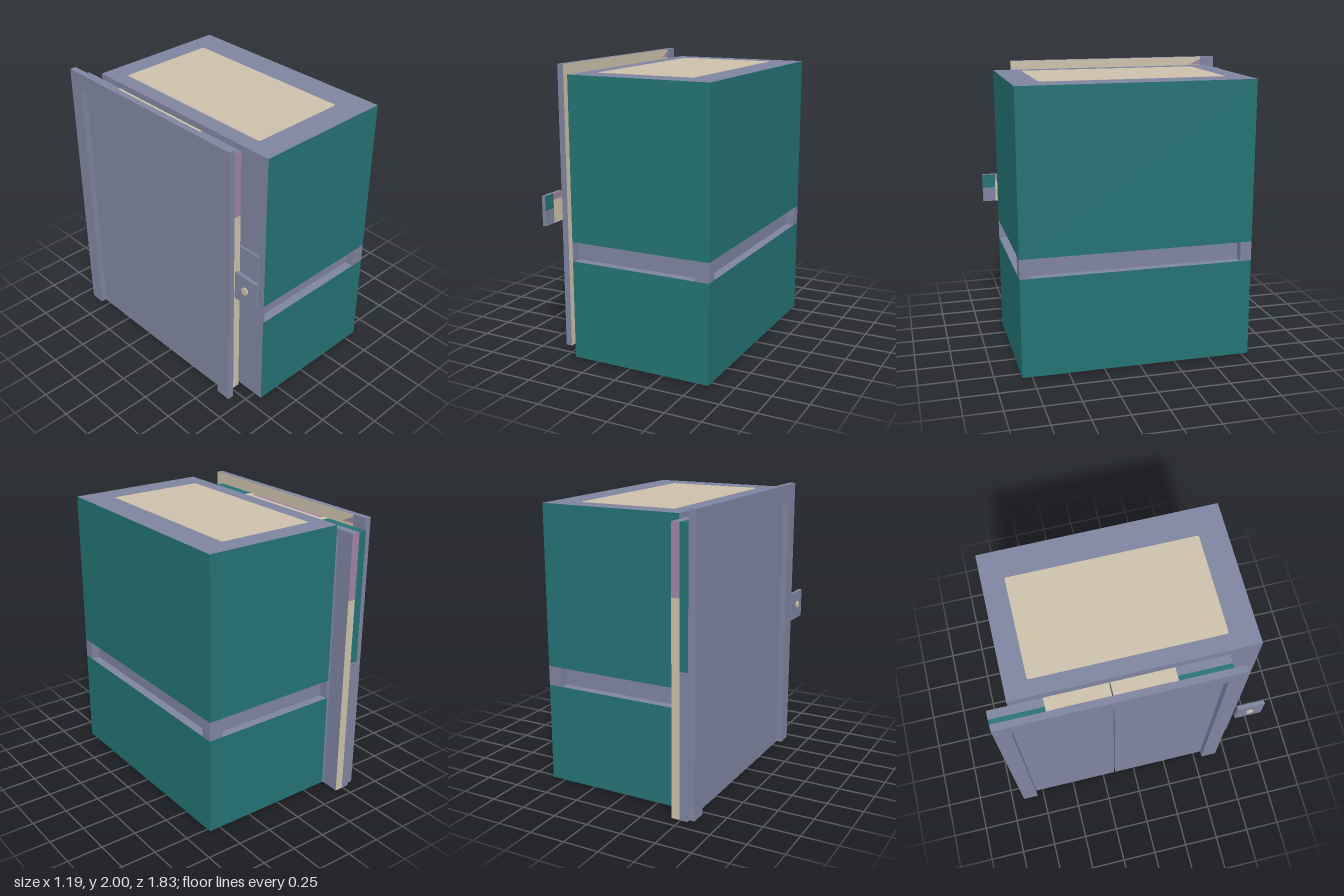
import * as THREE from 'three';

const mat = (name, color) => {
  const m = new THREE.MeshStandardMaterial({ color });
  m.name = name;
  return m;
};

export function createModel() {
  const teal = mat('teal', 0x247274);
  const slate = mat('slate', 0x7e84a0);
  const cream = mat('cream', 0xccc0aa);
  const mauve = mat('mauve', 0x9e83a3);

  const model = new THREE.Group();
  model.name = 'elevator';
  const group = (name) => {
    const g = new THREE.Group();
    g.name = name;
    model.add(g);
    return g;
  };
  // Box given by its limits; z limits may come in either order
  const box = (parent, name, material, x0, x1, y0, y1, za, zb) => {
    const z0 = Math.min(za, zb), z1 = Math.max(za, zb);
    const mesh = new THREE.Mesh(new THREE.BoxGeometry(x1 - x0, y1 - y0, z1 - z0), material);
    mesh.position.set((x0 + x1) / 2, (y0 + y1) / 2, (z0 + z1) / 2);
    mesh.name = name;
    parent.add(mesh);
    return mesh;
  };
  // Flat plate with small rounded corners, lying level
  const insetPlate = (parent, name, material, x0, x1, z0, z1, y, h) => {
    const r = 0.015, s = new THREE.Shape();
    s.moveTo(x0 + r, -z1);
    s.lineTo(x1 - r, -z1);
    s.quadraticCurveTo(x1, -z1, x1, -z1 + r);
    s.lineTo(x1, -z0 - r);
    s.quadraticCurveTo(x1, -z0, x1 - r, -z0);
    s.lineTo(x0 + r, -z0);
    s.quadraticCurveTo(x0, -z0, x0, -z0 - r);
    s.lineTo(x0, -z1 + r);
    s.quadraticCurveTo(x0, -z1, x0 + r, -z1);
    const geo = new THREE.ExtrudeGeometry(s, { depth: h, bevelEnabled: false, curveSegments: 3 });
    geo.rotateX(-Math.PI / 2);
    const mesh = new THREE.Mesh(geo, material);
    mesh.position.y = y;
    mesh.name = name;
    parent.add(mesh);
  };

  // Cabin: two panelled blocks with a recessed rail band between them
  const cabin = group('cabin');
  const panelled = [teal, slate, slate, slate, teal, teal];
  box(cabin, 'lowerCabin', panelled, -0.42, 0.59, 0.01, 0.7, -0.79, 0.82);
  box(cabin, 'upperCabin', panelled, -0.42, 0.59, 0.835, 1.95, -0.79, 0.82);
  box(cabin, 'bandCore', slate, -0.41, 0.53, 0.7, 0.835, -0.73, 0.76);
  box(cabin, 'bandEndWall', slate, -0.42, -0.41, 0.7, 0.835, -0.79, 0.82);
  box(cabin, 'bandPostFront', slate, 0.49, 0.59, 0.7, 0.835, 0.74, 0.82);
  box(cabin, 'bandPostBack', slate, 0.49, 0.59, 0.7, 0.835, -0.79, -0.71);
  insetPlate(cabin, 'roofPanel', cream, -0.31, 0.39, -0.64, 0.635, 1.949, 0.003);
  insetPlate(cabin, 'floorPanel', mauve, -0.34, 0.5, -0.69, 0.71, 0.008, 0.003);

  // Cabin doors and the control plate on the entrance side
  box(cabin, 'cabinDoors', slate, -0.435, -0.42, 0.01, 1.87, -0.79, 0.555);
  box(cabin, 'cabinControlPlate', slate, -0.435, -0.42, 0.89, 1.22, 0.58, 0.77);

  // Two sliding landing doors, mirrored about their meeting line
  const t = 0.003, mid = -0.155, xo = -0.55, xm = -0.493, xi = -0.435;
  for (const s of [-1, 1]) {
    const leaf = group(s < 0 ? 'backDoorLeaf' : 'frontDoorLeaf');
    const z = (d) => mid + s * d;
    box(leaf, 'leaf', slate, xo, xi, t, 1.92 - t, z(0.004), z(0.765 - t));
    // coloured end faces
    box(leaf, 'endUpperOuter', teal, xo, xm, 1, 1.92, z(0.765 - t), z(0.765));
    box(leaf, 'endLowerOuter', slate, xo, xm, 0, 1, z(0.765 - t), z(0.765));
    box(leaf, 'endUpperInner', mauve, xm, xi, 1.46, 1.92, z(0.765 - t), z(0.765));
    box(leaf, 'endLowerInner', cream, xm, xi, 0, 1.46, z(0.765 - t), z(0.765));
    // coloured top and bottom edges
    for (const [edge, y] of [['top', 1.92 - t], ['bottom', 0]]) {
      box(leaf, edge + 'EdgeTeal', teal, xo, xm, y, y + t, z(0.415), z(0.765 - t));
      box(leaf, edge + 'EdgeSlate', slate, xm, xi, y, y + t, z(0.415), z(0.765 - t));
      box(leaf, edge + 'EdgeMauve', mauve, xo, -0.522, y, y + t, z(0.004), z(0.365));
      box(leaf, edge + 'EdgeCream', cream, -0.522, xi, y, y + t, z(0.004), z(0.415));
      box(leaf, edge + 'EdgeCorner', cream, xo, -0.522, y, y + t, z(0.365), z(0.415));
    }
  }

  // Landing door frame: two jambs and a header, cream on the inside
  const frame = group('doorFrame');
  const creamInside = [cream, slate, slate, slate, slate, slate];
  box(frame, 'backJamb', slate, -0.595, -0.55, 0.01, 2, -0.91, -0.8);
  box(frame, 'frontJamb', creamInside, -0.595, -0.55, 0.01, 2, 0.56, 0.675);
  box(frame, 'header', creamInside, -0.595, -0.55, 1.875, 2, -0.8, 0.56);
  // mauve wedge in the inner corner of the header
  const wedge = new THREE.Shape();
  wedge.moveTo(0.8, 1.94);
  wedge.lineTo(0.8, 1.985);
  wedge.lineTo(0.71, 1.94);
  const wedgeMesh = new THREE.Mesh(
    new THREE.ExtrudeGeometry(wedge, { depth: 0.002, bevelEnabled: false }), mauve);
  wedgeMesh.rotation.y = Math.PI / 2;
  wedgeMesh.position.x = -0.55;
  wedgeMesh.name = 'headerCorner';
  frame.add(wedgeMesh);

  // Call panel beside the frame, with a four-colour inner face
  const call = group('callPanel');
  box(call, 'callPlate', slate, -0.587, -0.562, 0.95, 1.155, 0.72, 0.912);
  box(call, 'innerTeal', teal, -0.562, -0.56, 1.055, 1.155, 0.82, 0.912);
  box(call, 'innerSlate', slate, -0.562, -0.56, 0.95, 1.055, 0.82, 0.912);
  box(call, 'innerCream', cream, -0.562, -0.56, 0.95, 1.11, 0.72, 0.82);
  box(call, 'innerMauve', mauve, -0.562, -0.56, 1.11, 1.155, 0.72, 0.82);
  const button = new THREE.Mesh(new THREE.CylinderGeometry(0.026, 0.026, 0.012, 16), cream);
  button.rotation.z = Math.PI / 2;
  button.position.set(-0.592, 1.058, 0.815);
  button.name = 'callButton';
  call.add(button);

  return model;
}
